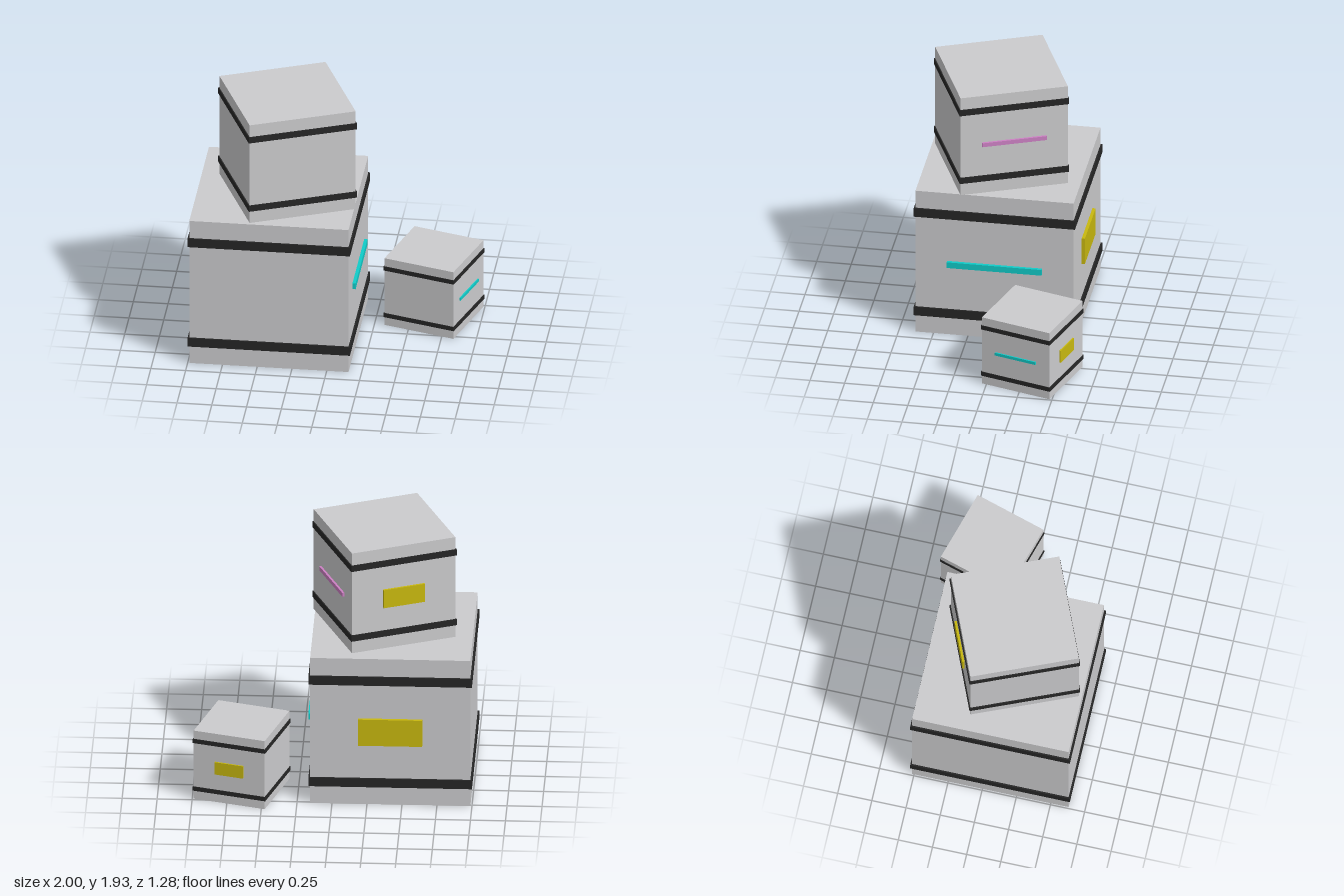
import * as THREE from 'three';

const paint = (name, color) => {
  const m = new THREE.MeshStandardMaterial({ color });
  m.name = name;
  return m;
};

export function createModel() {
  const grey = paint('light grey', 0xcbcbcd);
  const black = paint('black', 0x262626);
  const cyan = paint('cyan', 0x10cbc8);
  const yellow = paint('yellow', 0xc8b80f);
  const pink = paint('pink', 0xcc80c3);

  const model = new THREE.Group();
  model.name = 'stackedCrates';

  // One crate of unit size, scaled to s: body, two straps, side light bar, back panel
  function crate(name, s, x, y, z, turn, barMaterial) {
    const group = new THREE.Group();
    group.name = name;
    const add = (part, material, size, pos) => {
      const mesh = new THREE.Mesh(new THREE.BoxGeometry(...size), material);
      mesh.name = part;
      mesh.position.set(...pos);
      group.add(mesh);
    };
    add('body', grey, [1, 1, 1], [0, 0.5, 0]);
    add('lowerStrap', black, [1.02, 0.06, 1.02], [0, 0.15, 0]);
    add('upperStrap', black, [1.02, 0.06, 1.02], [0, 0.85, 0]);
    add('lightBar', barMaterial, [0.02, 0.04, 0.6], [0.51, 0.5, 0]);
    add('backPanel', yellow, [0.4, 0.18, 0.02], [0, 0.5, -0.51]);
    group.scale.setScalar(s);
    group.position.set(x, y, z);
    group.rotation.y = turn;
    model.add(group);
  }

  crate('largeCrate', 1.145, -0.416, 0, 0.058, 0, cyan);
  crate('topCrate', 0.787, -0.348, 1.145, 0.093, 0.4, pink);
  crate('smallCrate', 0.537, 0.656, 0, -0.3, -0.29, cyan);

  return model;
}
